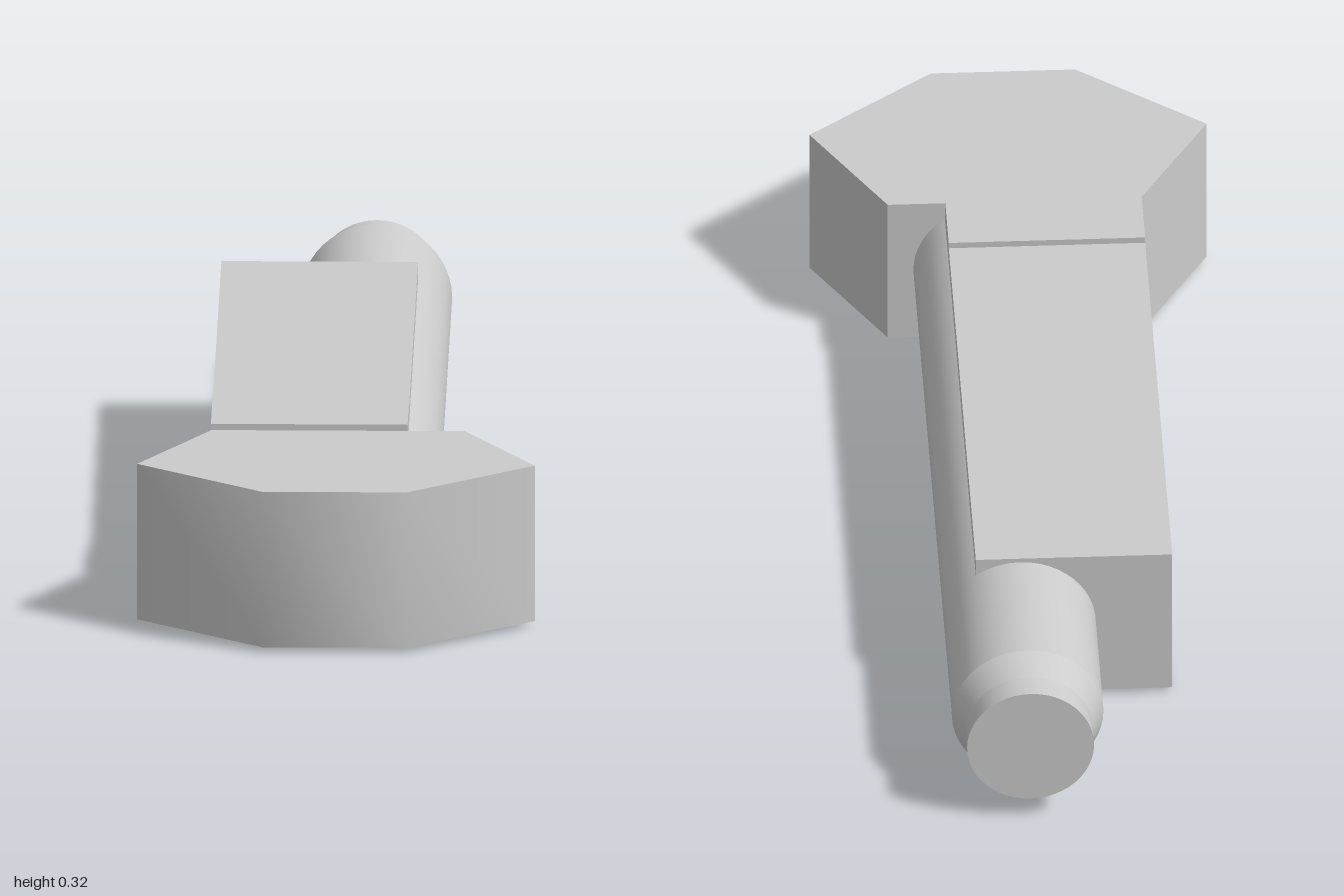
import * as THREE from 'three';
import { toCreasedNormals } from 'three/addons/utils/BufferGeometryUtils.js';

export function createModel() {
  const group = new THREE.Group();
  const material = new THREE.MeshStandardMaterial({ color: 0xcccccc });

  const add = (name, geometry) => {
    const mesh = new THREE.Mesh(geometry, material);
    mesh.name = name;
    group.add(mesh);
    return mesh;
  };

  // Box given by its minimum and maximum corners
  const addBox = (name, [x0, y0, z0], [x1, y1, z1]) =>
    add(name, new THREE.BoxGeometry(x1 - x0, y1 - y0, z1 - z0))
      .position.set((x0 + x1) / 2, (y0 + y1) / 2, (z0 + z1) / 2);

  // Six-sided head: plan outline (x, -z) extruded upwards, front faces softened
  const outline = [
    [-0.237, 0.573], [-0.372, 0.81], [-0.135, 1],
    [0.135, 1], [0.372, 0.81], [0.237, 0.573],
  ].map(([x, z]) => new THREE.Vector2(x, -z));
  const headGeometry = new THREE.ExtrudeGeometry(new THREE.Shape(outline), {
    depth: 0.302, bevelEnabled: false,
  });
  headGeometry.rotateX(-Math.PI / 2);
  add('head', toCreasedNormals(headGeometry, 0.9)).position.y = 0.01;

  // Square body and the slightly raised collar band behind the head
  addBox('body', [-0.238, 0.01, -0.6], [0.13, 0.312, 0.573]);
  addBox('collar', [-0.238, 0, 0.425], [0.13, 0.324, 0.573]);

  // Round shaft half sunk in the body, stepping down to a narrower tip
  const profile = [
    [0, 0.573], [0.142, 0.573], [0.142, -0.89],
    [0.119, -0.945], [0.119, -1], [0, -1],
  ].map(([r, z]) => new THREE.Vector2(r, -z)).reverse();
  const shaftGeometry = new THREE.LatheGeometry(profile.reverse(), 48);
  shaftGeometry.rotateX(-Math.PI / 2);
  add('shaft', toCreasedNormals(shaftGeometry, 0.35)).position.set(0.047, 0.162, 0);

  return group;
}
